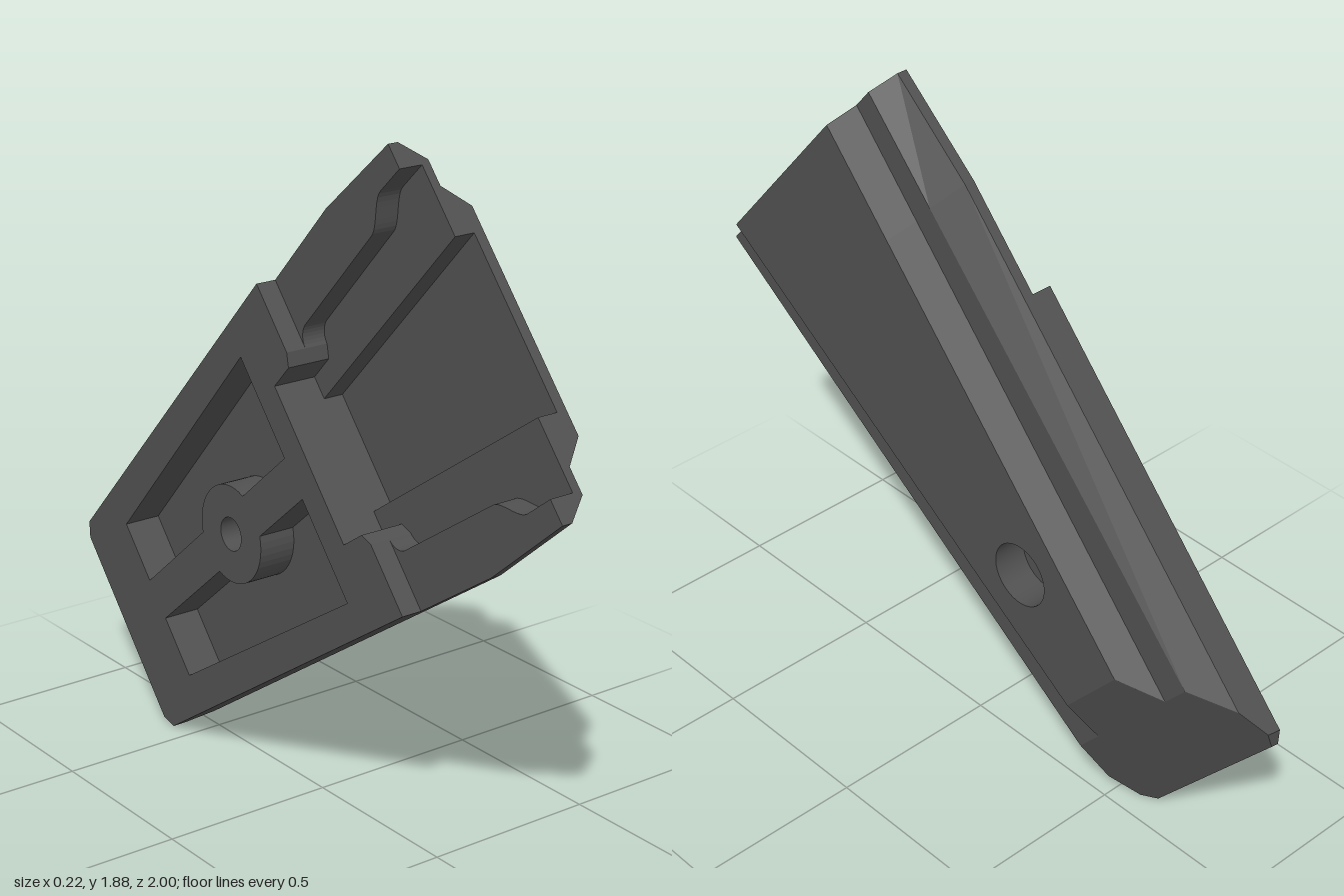
import * as THREE from 'three';

// Local frame: X runs down the long axis, Y across the width, Z through the thickness.
export function createModel() {
  const flatMat = new THREE.MeshStandardMaterial({ color: 0x505050, flatShading: true, side: THREE.DoubleSide });
  const smoothMat = new THREE.MeshStandardMaterial({ color: 0x505050, side: THREE.DoubleSide });
  const panel = new THREE.Group();
  panel.name = 'panel';

  const add = (name, geo, mat = flatMat) => {
    const mesh = new THREE.Mesh(geo, mat);
    mesh.name = name;
    panel.add(mesh);
    return mesh;
  };
  const mirror = (pts) => pts.map(([u, v]) => [u, -v]).reverse();
  const toVecs = (pts) => pts.map(([u, v]) => new THREE.Vector2(u, v));

  // Flat face at height z, with optional holes
  const face = (name, z, pts, holes = []) => {
    const shape = new THREE.Shape(toVecs(pts));
    holes.forEach((h) => shape.holes.push(new THREE.Path(toVecs(h))));
    add(name, new THREE.ShapeGeometry(shape).translate(0, 0, z));
  };
  // Quads joining successive rows of 3D points
  const skin = (name, rows) => {
    const n = rows[0].length, index = [];
    for (let r = 0; r < rows.length - 1; r++) {
      for (let i = 0; i < n - 1; i++) {
        const a = r * n + i, b = a + n;
        index.push(a, b, a + 1, b, b + 1, a + 1);
      }
    }
    const geo = new THREE.BufferGeometry();
    geo.setAttribute('position', new THREE.Float32BufferAttribute(rows.flat(2), 3));
    geo.setIndex(index);
    geo.computeVertexNormals();
    add(name, geo);
  };
  const wall = (name, pts, z0, z1) =>
    skin(name, [z0, z1].map((z) => pts.map(([u, v]) => [u, v, z])));
  const circle = (r, n = 40) => Array.from({ length: n }, (_, i) => {
    const a = (i / n) * Math.PI * 2;
    return [1.23 + r * Math.cos(a), r * Math.sin(a)];
  });

  // Half widths of the tapering outline and of the raised steps
  const outline = (u) => 0.515 - 0.117 * Math.max(0, u - 0.33);
  const lowStep = (u) => 0.456 - 0.1032 * u;
  const midStep = (u) => 0.382 - 0.119 * u;
  const topStep = (u) => 0.315 - 0.1165 * u;

  // Open ring around the panel; its lower end follows the bevel plane
  const ring = (z, start, half, c = 0.001) => {
    const e = Math.min(1.94, 1.587 + (0.11 - z) / 0.565);
    const side = [start, start ? 0.9 : 0.33, e - c].map((u) => [u, half(u)]);
    side.push([e, half(e - c) - c * 1.3]);
    return [...mirror(side).reverse(), ...side.reverse()];
  };
  const lift = (z, pts) => pts.map(([u, v]) => [u, v, z]);
  const layer = (z, start, half, c) => lift(z, ring(z, start, half, c));

  // Outer skin: thick lower body, then the bevelled and stepped front
  skin('lowerBodySide', [
    layer(-0.11, 0.65, outline, 0.03), layer(-0.088, 0.65, outline, 0.03),
    layer(-0.07, 0.65, outline), layer(-0.05, 0.65, outline),
  ]);
  skin('outerBevels', [
    layer(-0.05, 0, outline), layer(-0.02, 0, outline), layer(0.045, 0, lowStep),
    layer(0.045, 0, midStep), layer(0.11, 0, topStep),
  ]);
  face('outerFace', 0.11, ring(0.11, 0, topStep), [circle(0.092)]);

  // Upper end face, drawn across the section (width, thickness)
  const half = [[0.515, -0.05], [0.515, -0.02], [0.456, 0.045], [0.382, 0.045], [0.315, 0.11]];
  const inner = [[0.245, 0.08], [0.245, 0.02], [0.445, 0.02], [0.445, -0.05]];
  const flip = (pts) => pts.map(([v, z]) => [-v, z]).reverse();
  const section = [...half, ...flip(half), ...flip(inner), ...inner];
  const endGeo = new THREE.ShapeGeometry(new THREE.Shape(toVecs(section)));
  endGeo.applyMatrix4(new THREE.Matrix4().makeBasis(
    new THREE.Vector3(0, 1, 0), new THREE.Vector3(0, 0, 1), new THREE.Vector3(1, 0, 0)));
  add('upperEndFace', endGeo);

  // Channel edge: wide mouth, S-curve inward, then a rounded corner at the step
  const channel = [[0, 0.445], [0.1, 0.44]];
  for (let i = 1; i <= 10; i++) {
    const t = i / 10;
    channel.push([0.1 + 0.11 * t, 0.44 - 0.07 * t * t * (3 - 2 * t)]);
  }
  channel.push([0.6, 0.325]);
  for (let i = 1; i <= 8; i++) {
    const a = (i / 8) * Math.PI / 2;
    channel.push([0.6 + 0.05 * Math.sin(a), 0.275 + 0.05 * Math.cos(a)]);
  }
  const notch = [[0.65, 0.275], [0.67, 0.24], [0.76, 0.23]];
  const deep = [[0, 0.245], [0.76, 0.165]];

  for (const s of [1, -1]) {
    const m = (pts) => pts.map(([u, v]) => [u, s * v]);
    const flange = [[0, 0.515], [0.33, 0.515], [0.65, outline(0.65)], ...[...channel].reverse()];
    face('flangeBack', -0.05, m(flange));
    wall('channelWall', m(channel), -0.05, 0.02);
    wall('notchWall', m(notch), -0.11, 0.02);
    face('channelLedge', 0.02, m([...channel, ...notch.slice(1), [0.76, 0.165], [0, 0.245]]));
    wall('deepChannelWall', m(deep), 0.02, 0.08);
    wall('stepFace', m([[0.65, 0.275], [0.65, outline(0.65)]]), -0.11, -0.05);
  }
  face('deepChannelFloor', 0.08, [...deep, ...mirror(deep)]);
  wall('crossRibFace', [[0.76, 0.23], [0.76, -0.23]], -0.11, 0.02);
  wall('crossRibFoot', [[0.76, 0.165], [0.76, -0.165]], 0.02, 0.08);

  // Back pockets on either side of a central rib with a round boss
  const pocket = [[0.85, 0.06]];
  const a0 = Math.asin(0.06 / 0.14);
  for (let i = 0; i <= 16; i++) {
    const a = Math.PI - a0 - (i / 16) * (Math.PI - 2 * a0);
    pocket.push([1.23 + 0.14 * Math.cos(a), 0.14 * Math.sin(a)]);
  }
  pocket.push([1.72, 0.06], [1.72, 0.24], [0.85, 0.36]);
  const pockets = [pocket, mirror(pocket)];
  for (const p of pockets) {
    wall('pocketWall', [...p, p[0]], -0.11, 0);
    face('pocketFloor', 0, p);
  }
  const backRing = ring(-0.11, 0.65, outline, 0.03);
  face('backFace', -0.11, [...backRing, ...notch, ...mirror(notch)], [...pockets, circle(0.048)]);

  // Screw hole with a counterbore on the outer face
  const tube = (name, r, z0, z1) => add(name,
    new THREE.CylinderGeometry(r, r, z1 - z0, 40, 1, true).rotateX(Math.PI / 2)
      .translate(1.23, 0, (z0 + z1) / 2), smoothMat);
  tube('counterbore', 0.092, 0.01, 0.11);
  tube('screwHole', 0.048, -0.11, 0.01);
  add('counterboreSeat', new THREE.RingGeometry(0.048, 0.092, 40).translate(1.23, 0, 0.01));

  // Tilt the panel into its standing pose
  const pose = new THREE.Matrix4().makeBasis(
    new THREE.Vector3(0, -0.65, -0.76).normalize(),
    new THREE.Vector3(0, 0.76, -0.65).normalize(),
    new THREE.Vector3(1, 0, 0));
  panel.quaternion.setFromRotationMatrix(pose);
  panel.position.set(0, 1.491, 0.665);

  const model = new THREE.Group();
  model.name = 'gripPanel';
  model.add(panel);
  return model;
}
